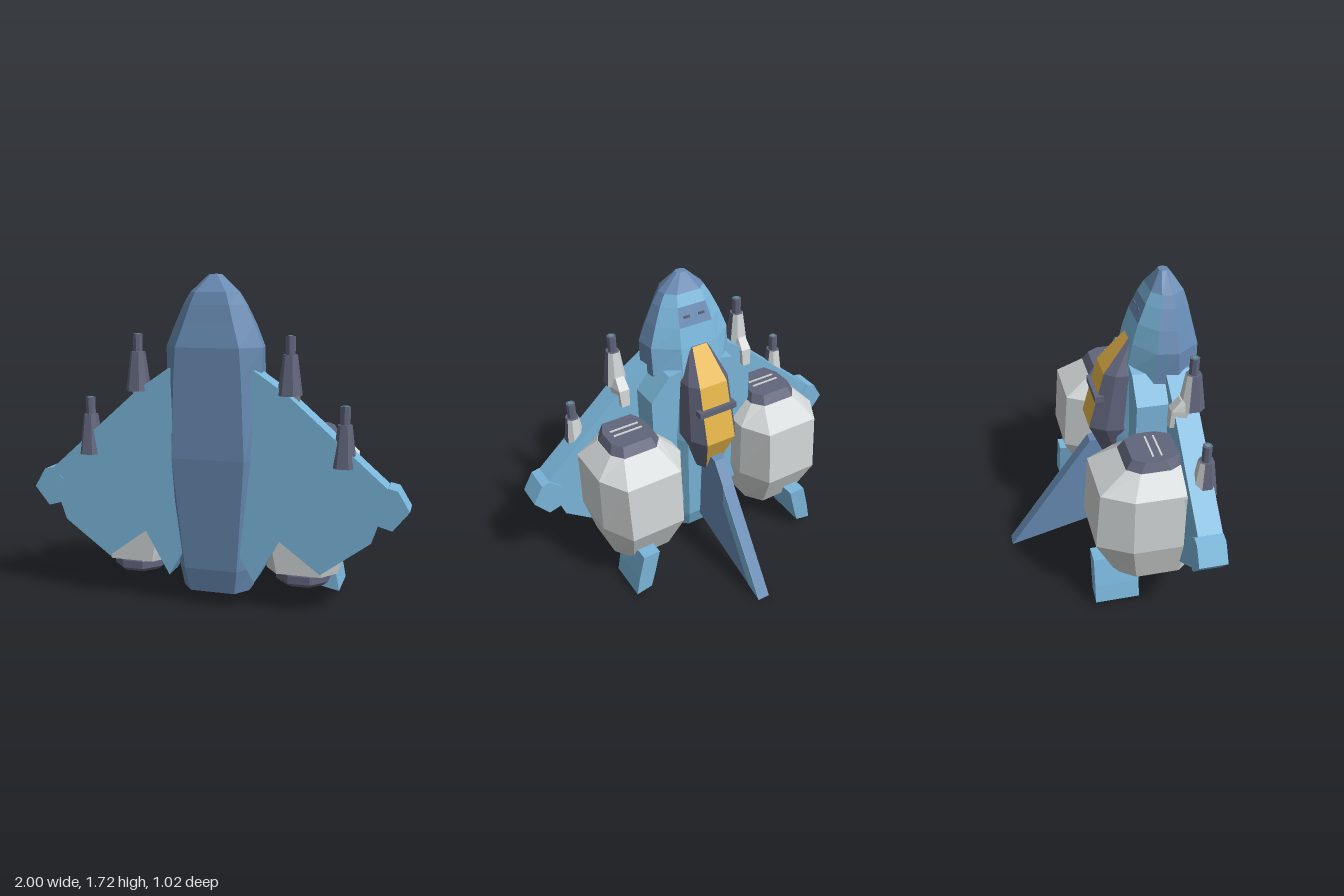
import * as THREE from 'three';

const mat = (name, color) => {
  const m = new THREE.MeshStandardMaterial({ color });
  m.name = name;
  return m;
};

export function createModel() {
  const root = new THREE.Group();
  root.name = 'spaceship';
  const slate = mat('slate blue', 0x678ab2);
  const sky = mat('light blue', 0x7ab6da);
  const dark = mat('dark grey', 0x61657b);
  const grey = mat('light grey', 0xd2d6d6);
  const gold = mat('gold', 0xe2b348);
  const teal = mat('teal', 0x5f9298);

  const add = (name, geo, material) => {
    const flat = geo.index ? geo.toNonIndexed() : geo;
    flat.computeVertexNormals();
    const mesh = new THREE.Mesh(flat, material);
    mesh.name = name;
    root.add(mesh);
    return mesh;
  };
  const box = (name, w, h, d, x, y, z, m) =>
    add(name, new THREE.BoxGeometry(w, h, d).translate(x, y, z), m);

  // Skin stacked rings [y, [[x, z], ...]]; pick(band, side) chooses a material, band -1 and last are caps
  const loft = (name, rings, mats, pick = () => 0) => {
    const buckets = mats.map(() => []);
    const n = rings[0][1].length;
    const P = (i, j) => {
      const [y, pts] = rings[i];
      return [pts[j % n][0], y, pts[j % n][1]];
    };
    const last = rings.length - 1;
    for (let i = 0; i < last; i++)
      for (let j = 0; j < n; j++)
        buckets[pick(i, j)].push(...P(i, j), ...P(i, j + 1), ...P(i + 1, j + 1),
          ...P(i, j), ...P(i + 1, j + 1), ...P(i + 1, j));
    for (let j = 1; j < n - 1; j++) {
      buckets[pick(-1, j)].push(...P(0, 0), ...P(0, j + 1), ...P(0, j));
      buckets[pick(last, j)].push(...P(last, 0), ...P(last, j), ...P(last, j + 1));
    }
    const geo = new THREE.BufferGeometry();
    geo.setAttribute('position', new THREE.Float32BufferAttribute(buckets.flat(), 3));
    let start = 0;
    buckets.forEach((b, k) => {
      geo.addGroup(start, b.length / 3, k);
      start += b.length / 3;
    });
    return add(name, geo, mats);
  };
  // Ring symmetric in x from its +x half, listed belly to back
  const sym = (half, cx = 0) => [
    ...half.map(([x, z]) => [cx + x, z]),
    ...half.slice().reverse().map(([x, z]) => [cx - x, z]),
  ];
  const plate = (name, pts, s, z0, z1, m) => {
    const shape = new THREE.Shape(pts.map(([x, y]) => new THREE.Vector2(x * s, y)));
    const geo = new THREE.ExtrudeGeometry(shape, { depth: z1 - z0, bevelEnabled: false });
    return add(name, geo.translate(0, 0, z0), m);
  };
  const sidePlate = (name, pts, x0, x1, m) => {
    const shape = new THREE.Shape(pts.map(([z, y]) => new THREE.Vector2(z, y)));
    const geo = new THREE.ExtrudeGeometry(shape, { depth: x1 - x0, bevelEnabled: false });
    return add(name, geo.rotateY(-Math.PI / 2).translate(x1, 0, 0), m);
  };

  // Fuselage: y, belly half width and z, flank half width and z, split half width and z, back half width and z
  const hull = [
    [0.08, 0.12, 0.44, 0.18, 0.36, 0.18, 0.27, 0.09, 0.19],
    [0.21, 0.14, 0.47, 0.20, 0.38, 0.20, 0.26, 0.11, 0.14],
    [0.80, 0.19, 0.515, 0.235, 0.40, 0.235, 0.26, 0.13, 0.10],
    [1.20, 0.175, 0.515, 0.25, 0.40, 0.24, 0.27, 0.12, 0.15],
    [1.36, 0.165, 0.515, 0.255, 0.39, 0.24, 0.28, 0.11, 0.18],
    [1.47, 0.13, 0.49, 0.21, 0.385, 0.20, 0.295, 0.10, 0.21],
    [1.57, 0.10, 0.468, 0.165, 0.38, 0.155, 0.315, 0.085, 0.25],
    [1.63, 0.08, 0.45, 0.13, 0.375, 0.12, 0.325, 0.07, 0.28],
    [1.72, 0.015, 0.385, 0.03, 0.37, 0.03, 0.345, 0.015, 0.335],
  ].map(([y, a, az, b, bz, c, cz, d, dz]) => [y, sym([[a, az], [b, bz], [c, cz], [d, dz]])]);
  loft('fuselage', hull, [slate, sky], (i, j) => {
    if (i === -1) return 1;
    if (i >= 7) return 0;
    if (i === 5 && j === 3) return 0;
    return j >= 2 && j <= 4 ? 1 : 0;
  });
  for (const s of [-1, 1]) box('noseVent', 0.035, 0.012, 0.008, s * 0.045, 1.52, 0.227, dark);

  // Canopy with a gold roof and dark sides
  const canopy = [
    [0.60, 0.035, 0.06, 0.07, 0.12, 0.08, 0.2],
    [0.85, 0.09, -0.045, 0.145, 0.04, 0.16, 0.18],
    [1.18, 0.085, 0.035, 0.125, 0.09, 0.14, 0.22],
    [1.36, 0.045, 0.175, 0.055, 0.19, 0.06, 0.26],
  ].map(([y, g, gz, w, wz, b, bz]) => [y, sym([[b, bz], [w, wz], [g, gz]])]);
  loft('canopy', canopy, [dark, gold], (i, j) => (i >= 0 && i < 3 && j === 2 ? 1 : 0));
  box('canopyFrame', 0.23, 0.035, 0.05, 0, 1.04, 0.008, dark);

  // Swept tail fin with a coloured leading strip
  sidePlate('tailFin', [[0.2, 0.2], [-0.51, 0.005], [-0.12, 0.58], [-0.03, 0.71], [0.2, 0.75]],
    -0.035, 0.035, slate);
  sidePlate('finStripe', [[-0.4, 0.037], [-0.51, 0.005], [-0.12, 0.58], [-0.12, 0.46]],
    0.034, 0.037, sky);

  for (const s of [-1, 1]) {
    // Wing, tip block and root shoulder
    plate('wing', [[0.15, 1.25], [0.225, 1.25], [0.4, 1.13], [0.9, 0.69], [0.9, 0.5], [0.85, 0.51],
      [0.82, 0.42], [0.57, 0.235], [0.36, 0.39], [0.23, 0.16], [0.15, 0.3]], s, 0.33, 0.46, sky);
    plate('wingTip', [[0.83, 0.64], [0.895, 0.7], [0.94, 0.69], [1, 0.59], [0.92, 0.49], [0.85, 0.51]],
      s, 0.31, 0.461, sky);
    plate('shoulder', [[0.1, 1.25], [0.2, 1.23], [0.315, 1.1], [0.315, 0.4], [0.1, 0.3]], s, 0.16, 0.335, sky);

    // Engine pod, intake cap and grille
    const cx = s * 0.455;
    const pod = (y, flat, w, back, corner, front) =>
      [y, sym([[flat, front], [w, front - 0.09], [w, corner], [flat, back]], cx)];
    loft('enginePod', [
      pod(0.21, 0.115, 0.185, 0.0, 0.1, 0.43),
      pod(0.46, 0.16, 0.255, -0.12, 0.06, 0.44),
      pod(0.80, 0.16, 0.25, -0.1, 0.06, 0.43),
      pod(0.90, 0.1, 0.15, 0.05, 0.11, 0.36),
    ], [grey]);
    loft('intake', [
      pod(0.895, 0.1, 0.15, 0.045, 0.11, 0.36),
      pod(0.95, 0.085, 0.125, 0.08, 0.14, 0.34),
    ], [dark]);
    for (const z of [0.19, 0.235]) box('intakeBar', 0.17, 0.008, 0.01, cx, 0.952, z, grey);

    // Exhaust nozzle
    const ring = [[0.08, 0.19], [0.09, 0.14], [0.125, 0.14], [0.148, 0.16], [0.148, 0.2], [0.13, 0.23]];
    add('nozzle', new THREE.LatheGeometry(ring.map(([r, y]) => new THREE.Vector2(r, y)), 8)
      .rotateY(Math.PI / 8).translate(cx, 0, 0.285), dark);
    add('nozzleGlow', new THREE.CylinderGeometry(0.085, 0.085, 0.02, 8)
      .rotateY(Math.PI / 8).translate(cx, 0.19, 0.285), teal);

    // Landing foot
    plate('foot', [[0.46, 0.3], [0.5, 0.14], [0.525, 0.055], [0.62, 0.035], [0.6, 0.14], [0.56, 0.3]],
      s, -0.12, 0.125, sky);

    // Wing guns: dark belly side, grey back side, with a tapered grey fairing
    for (const [x, y, h] of [[0.4, 1.13, 0.2], [0.675, 0.785, 0.21]]) {
      const gx = s * x;
      const oct = (yy, r, zc) => [yy, sym([[r * 0.5, zc + r * 1.1], [r, zc + r * 0.5],
        [r, zc - r * 0.5], [r * 0.5, zc - r * 1.1]], gx)];
      loft('gunBody', [oct(y, 0.058, 0.422), oct(y + h, 0.034, 0.422)], [dark, grey],
        (i, j) => (i === 0 && j >= 2 && j <= 4 ? 1 : 0));
      add('gunBarrel', new THREE.CylinderGeometry(0.026, 0.026, 0.1, 8)
        .translate(gx, y + h + 0.04, 0.422), dark);
      add('muzzle', new THREE.CylinderGeometry(0.015, 0.015, 0.006, 8)
        .translate(gx, y + h + 0.09, 0.422), teal);
      loft('gunFairing', [
        [y - 0.1, sym([[0.03, 0.36], [0.025, 0.305]], gx)],
        [y, sym([[0.05, 0.4], [0.03, 0.31]], gx)],
        [y + 0.06, sym([[0.04, 0.4], [0.025, 0.36]], gx)],
      ], [grey]);
    }
  }
  return root;
}
